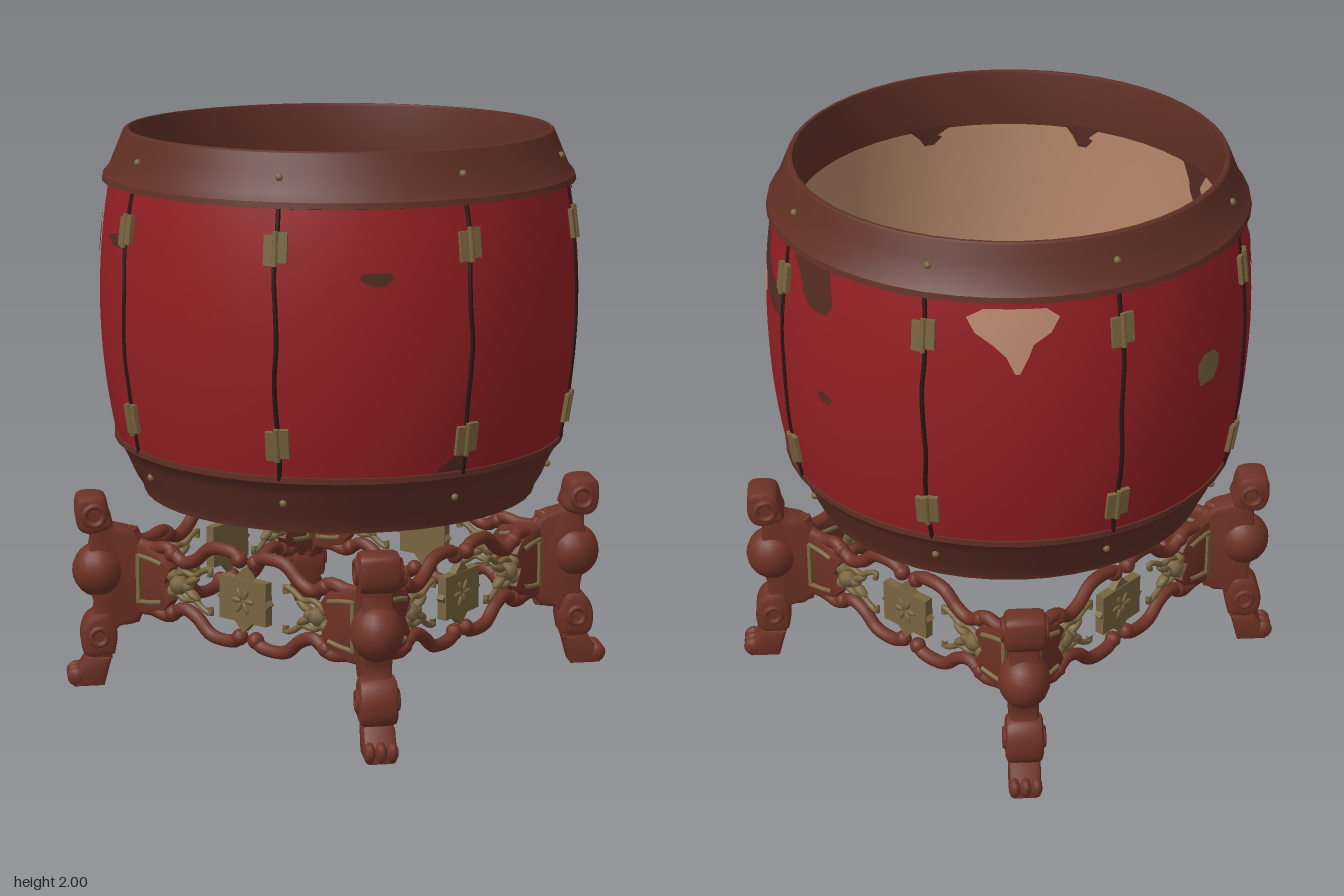
import * as THREE from 'three';
import { toCreasedNormals } from 'three/addons/utils/BufferGeometryUtils.js';

const mat = (name, color, side = THREE.FrontSide) => {
  const m = new THREE.MeshStandardMaterial({ color, side });
  m.name = name;
  return m;
};
const RED = mat('red lacquer', 0x941f24);
const RIM = mat('rim brown', 0x5f2f25);
const WOOD = mat('stand wood', 0x6e3226);
const BRASS = mat('aged brass', 0x78643f);
const SEAM = mat('dark seam', 0x2a1512);
const SKIN = mat('pale skin', 0xc8bfae, THREE.DoubleSide);
const INNER = mat('bare inner wood', 0xb98a6c);
const CHIP = mat('chipped paint', 0x552b22, THREE.DoubleSide);
const BARE = mat('exposed wood', 0xbd8a70, THREE.DoubleSide);

const rad = THREE.MathUtils.degToRad;
const v3 = (x, y, z = 0) => new THREE.Vector3(x, y, z);
const bodyR = y => 0.845 - 0.22 * (y - 1.4) ** 2;
const innerR = y => y > 1.3 ? 0.75 - 0.05 * (y - 1.3) ** 2 : 0.75 - 0.2 * (1.3 - y) ** 2;

function add(parent, name, geometry, material, x = 0, y = 0, z = 0) {
  const m = new THREE.Mesh(geometry, material);
  m.name = name;
  m.position.set(x, y, z);
  parent.add(m);
  return m;
}
function group(parent, name, rotY = 0) {
  const g = new THREE.Group();
  g.name = name;
  g.rotation.y = rotY;
  parent.add(g);
  return g;
}
const lathe = pts => toCreasedNormals(
  new THREE.LatheGeometry(pts.map(p => new THREE.Vector2(...p)), 48), 0.5);
const tube = (pts, r, n = 28) => new THREE.TubeGeometry(
  new THREE.CatmullRomCurve3(pts.map(p => v3(...p))), n, r, 8);
function slab(pts, depth, bevel, curved = false) {
  const vs = pts.map(p => new THREE.Vector2(...p));
  const shape = new THREE.Shape();
  if (curved) { shape.moveTo(vs[0].x, vs[0].y); shape.splineThru([...vs.slice(1), vs[0]]); }
  else shape.setFromPoints(vs);
  const g = new THREE.ExtrudeGeometry(shape, {
    depth: depth - 2 * bevel, bevelEnabled: bevel > 0, bevelSize: bevel,
    bevelThickness: bevel, bevelOffset: -bevel, bevelSegments: 2, curveSegments: 4 });
  g.translate(0, 0, -depth / 2 + bevel);
  return toCreasedNormals(g, 0.6);
}

// Thin patch wrapped on the shell: rows of [height, start degrees, end degrees]
function patch(parent, name, rows, material, radius = bodyR, lift = 0.004) {
  const n = 6, pos = [], idx = [], fine = [];
  rows.forEach((r, i) => {
    if (i) fine.push(r.map((v, k) => (v + rows[i - 1][k]) / 2));
    fine.push(r);
  });
  fine.forEach(([y, a, b], i) => {
    for (let j = 0; j <= n; j++) {
      const t = rad(a + (b - a) * j / n), r = radius(y) + lift;
      pos.push(r * Math.sin(t), y, r * Math.cos(t));
      if (i && j) {
        const c = i * (n + 1) + j, d = c - n - 1;
        idx.push(d - 1, d, c, d - 1, c, c - 1);
      }
    }
  });
  const g = new THREE.BufferGeometry();
  g.setAttribute('position', new THREE.Float32BufferAttribute(pos, 3));
  g.setIndex(lift > 0 ? idx : idx.reverse());
  g.computeVertexNormals();
  add(parent, name, g, material);
}

function buildDrum(root) {
  const drum = group(root, 'drum');
  const steps = Array.from({ length: 15 }, (_, i) => 0.9 + i * 0.95 / 14);
  add(drum, 'barrel', lathe(steps.map(y => [bodyR(y), y])), RED);
  const inside = Array.from({ length: 13 }, (_, i) => 1.82 - i * 1.085 / 12);
  add(drum, 'innerWall', lathe(inside.map(y => [innerR(y), y])), INNER);
  add(drum, 'topRim', lathe([[0.74, 1.79], [0.8, 1.82], [0.83, 1.825], [0.826, 1.845], [0.805, 1.87],
    [0.775, 1.94], [0.752, 1.995], [0.745, 2], [0.735, 2], [0.732, 1.99], [0.735, 1.79]]), RIM);
  add(drum, 'bottomRim', lathe([[0.67, 0.74], [0.675, 0.717], [0.7, 0.717], [0.705, 0.74], [0.735, 0.79],
    [0.765, 0.86], [0.785, 0.895], [0.802, 0.91], [0.802, 0.93], [0.78, 0.935]]), RIM);
  add(drum, 'drumSkin', new THREE.CircleGeometry(0.69, 48).rotateX(-Math.PI / 2), SKIN, 0, 0.738);
  add(drum, 'skinStain', new THREE.CircleGeometry(0.03, 12).rotateX(-Math.PI / 2).scale(0.9, 1, 2),
    BARE, 0.01, 0.742, -0.48);

  // Eight seams, each with two hinges and two rivets
  for (let k = 0; k < 8; k++) {
    const stave = group(drum, 'staveSeam', rad(22.5 + 45 * k));
    const line = Array.from({ length: 9 }, (_, i) => {
      const y = 0.92 + i * 0.92 / 8;
      return [0.005 * Math.sin(i * 1.9 + k), y, bodyR(y) + 0.001];
    });
    add(stave, 'seam', tube(line, 0.008), SEAM);
    for (const y of [1.045, 1.695]) {
      const hinge = group(stave, 'hinge');
      hinge.position.set(0, y, bodyR(y) + 0.005);
      hinge.rotation.x = Math.atan(-0.44 * (y - 1.4));
      for (const s of [-1, 1]) {
        add(hinge, 'hingeLeaf', new THREE.BoxGeometry(0.034, 0.1, 0.016), BRASS, s * 0.022, s * 0.005, 0)
          .rotation.y = s * 0.06;
      }
      add(hinge, 'hingePin', new THREE.CylinderGeometry(0.01, 0.01, 0.115, 8), BRASS, 0, 0, 0.007);
    }
    add(stave, 'topRivet', new THREE.SphereGeometry(0.013, 8, 6), BRASS, 0, 1.92, 0.785);
    add(stave, 'bottomRivet', new THREE.SphereGeometry(0.013, 8, 6), BRASS, 0, 0.83, 0.755);
  }

  // Worn paint outside
  const worn = group(drum, 'wornPaint');
  patch(worn, 'frontRightChip', [[1.54, 62, 66], [1.57, 56, 68], [1.61, 52, 68], [1.66, 47, 59],
    [1.72, 42, 54], [1.76, 40, 55], [1.78, 41, 51]], CHIP);
  patch(worn, 'frontRightBare', [[1.545, 50, 53], [1.57, 49, 55], [1.6, 50, 55], [1.63, 52, 54]], BARE, bodyR, 0.007);
  patch(worn, 'rightChip', [[1.66, 80, 86], [1.7, 77, 88], [1.76, 75, 87], [1.82, 70, 86]], CHIP);
  patch(worn, 'backRightBare', [[1.58, 133, 134], [1.64, 131, 136], [1.68, 128, 137], [1.72, 124, 141],
    [1.77, 122, 143], [1.8, 126, 140]], BARE);
  patch(worn, 'rightSpot', [[1.34, 85, 87], [1.36, 83, 88], [1.38, 84, 86]], CHIP);
  patch(worn, 'frontLeftSpot', [[1.575, -46, -43], [1.6, -49, -41], [1.62, -48, -42]], CHIP);
  patch(worn, 'lowerChip', [[0.935, -30, -21.5], [0.98, -26, -21.5], [1.03, -23, -21.5]], CHIP);
  patch(worn, 'topChip', [[1.795, 28, 31], [1.83, 25, 32]], CHIP);
  patch(worn, 'backSpot', [[1.39, 180, 185], [1.43, 179, 187], [1.47, 179, 187], [1.5, 181, 185]], BRASS);
  patch(worn, 'backHook', [[1.57, 221, 224], [1.62, 222, 226], [1.67, 220, 225], [1.7, 217, 223]], CHIP);
  patch(worn, 'backLeftChip', [[1.63, 240, 246], [1.66, 236, 249], [1.68, 244, 249]], CHIP);

  // Ragged stain drips on the inner wall
  const drips = [[247, 5, 1.66], [220, 2.5, 1.62], [71, 8, 1.66], [40, 4, 1.72], [120, 3, 1.7],
    [165, 4, 1.74], [290, 4, 1.72], [335, 5, 1.73], [195, 6, 1.75]];
  for (const [a, w, low] of drips) {
    patch(worn, 'innerDrip', [[low, a - w * 0.3, a + w * 0.3], [low + 0.03, a - w * 0.8, a + w * 0.6],
      [(low + 1.8) / 2, a - w * 0.5, a + w * 0.7], [1.8, a - w * 1.4, a + w * 1.3]], CHIP, innerR, -0.006);
  }
}

// Carved leg: local x points outward from the centre
function buildLeg(root, angle) {
  const leg = group(root, 'leg', angle);
  add(leg, 'legSpine', slab([[0.83, 0.1], [0.91, 0.1], [0.93, 0.18], [0.89, 0.29], [0.92, 0.42], [0.9, 0.54],
    [0.9, 0.66], [0.84, 0.67], [0.83, 0.6], [0.75, 0.57], [0.71, 0.5], [0.71, 0.3], [0.75, 0.23],
    [0.81, 0.21]], 0.1, 0.015, true), WOOD);
  add(leg, 'legCap', slab([[0.83, 0.64], [0.85, 0.7], [0.93, 0.705], [0.95, 0.67], [0.945, 0.6], [0.91, 0.57],
    [0.85, 0.58], [0.82, 0.6]], 0.14, 0.02, true), WOOD);
  add(leg, 'legKnee', new THREE.SphereGeometry(1, 18, 12).scale(0.095, 0.1, 0.09), WOOD, 0.87, 0.425);
  add(leg, 'lowerScroll', slab([[0.82, 0.12], [0.92, 0.115], [0.94, 0.19], [0.91, 0.26], [0.84, 0.27],
    [0.81, 0.2]], 0.13, 0.02, true), WOOD);
  add(leg, 'foot', slab([[0.83, 0.11], [0.86, 0], [0.97, 0], [0.97, 0.04], [0.94, 0.08], [0.92, 0.115]],
    0.11, 0.015), WOOD);
  for (const z of [-0.038, 0, 0.038]) {
    add(leg, 'toe', new THREE.SphereGeometry(1, 10, 8).scale(0.035, 0.036, 0.021), WOOD, 0.957, 0.037, z);
  }
  for (const s of [-1, 1]) {
    add(leg, 'capScroll', new THREE.TorusGeometry(0.035, 0.012, 6, 16), WOOD, 0.885, 0.64, s * 0.07);
    add(leg, 'lowerScrollRing', new THREE.TorusGeometry(0.03, 0.012, 6, 16), WOOD, 0.875, 0.19, s * 0.064);
  }
}

// Openwork panel between two legs
function buildPanel(root, angle) {
  const panel = group(root, 'panel', angle);
  const face = group(panel, 'panelFace');
  face.position.set(0, 0.4, 0.53);
  for (const s of [-1, 1]) {
    // The right half is the left half turned half a circle
    const half = group(face, 'panelHalf', s < 0 ? Math.PI : 0);
    add(half, 'bracket', slab([[0.56, -0.17], [0.56, 0.17], [0.52, 0.18], [0.49, 0.13], [0.44, 0.13], [0.4, 0.11],
      [0.36, 0.1], [0.33, 0.06], [0.36, 0], [0.33, -0.06], [0.36, -0.1], [0.4, -0.11], [0.44, -0.13],
      [0.49, -0.13], [0.52, -0.18]], 0.05, 0.01), WOOD);
    for (const f of [-1, 1]) {
      add(half, 'scrollRail', tube([[0.52, 0.12 * f], [0.43, 0.115 * f], [0.36, 0.125 * f], [0.29, 0.085 * f],
        [0.23, 0.105 * f], [0.17, 0.155 * f], [0.1, 0.165 * f], [0.05, 0.155 * f], [0.03, 0.135 * f]], 0.024), WOOD);
      add(half, 'railTip', new THREE.SphereGeometry(0.03, 10, 8), WOOD, 0.035, 0.14 * f);
      add(half, 'railCurl', new THREE.SphereGeometry(0.03, 10, 8), WOOD, 0.34, 0.11 * f);
      add(half, 'vine', tube([[0.35, 0.01 * f], [0.29, 0.05 * f], [0.24, 0.045 * f], [0.2, 0.07 * f],
        [0.165, 0.08 * f], [0.17, 0.055 * f]], 0.011, 18), BRASS);
      add(half, 'leaf', new THREE.SphereGeometry(1, 8, 6).scale(0.04, 0.016, 0.02), BRASS, 0.25, 0.025 * f)
        .rotation.z = -0.5 * f;
      add(half, 'frameSide', tube([[0.475, 0.085 * f, 0.028], [0.42, 0.08 * f, 0.028], [0.37, 0.07 * f, 0.028]],
        0.009, 4), BRASS);
      add(half, 'frameSideInner', tube([[0.475, 0.085 * f, -0.028], [0.42, 0.08 * f, -0.028],
        [0.37, 0.07 * f, -0.028]], 0.009, 4), BRASS);
      add(half, 'frameEnd', new THREE.BoxGeometry(0.016, 0.18, 0.016), BRASS, 0.475, 0, 0.028 * f);
    }
    for (const [x, y, r] of [[0.31, 0, 0.036], [0.34, 0.03, 0.025], [0.34, -0.03, 0.025], [0.27, 0, 0.022]]) {
      add(half, 'blossom', new THREE.SphereGeometry(r, 8, 6), BRASS, x, y);
    }
  }
  // Square medallion with star points and a flower
  const medal = group(face, 'medallion');
  add(medal, 'medallionPlate', new THREE.BoxGeometry(0.205, 0.155, 0.035), BRASS, -0.01, 0, 0);
  add(medal, 'medallionStar', new THREE.BoxGeometry(0.165, 0.165, 0.028), BRASS, -0.01, 0, 0).rotation.z = Math.PI / 4;
  for (let i = 0; i < 6; i++) {
    const a = i * Math.PI / 3;
    add(medal, 'petal', new THREE.SphereGeometry(1, 8, 6).scale(0.024, 0.01, 0.007), BRASS,
      -0.01 + 0.028 * Math.cos(a), 0.028 * Math.sin(a), 0.018).rotation.z = a;
  }
}

export function createModel() {
  const root = new THREE.Group();
  root.name = 'drumOnStand';
  buildDrum(root);
  const stand = group(root, 'stand');
  for (let k = 0; k < 4; k++) {
    buildLeg(stand, Math.PI / 4 + k * Math.PI / 2);
    buildPanel(stand, k * Math.PI / 2);
  }
  return root;
}
